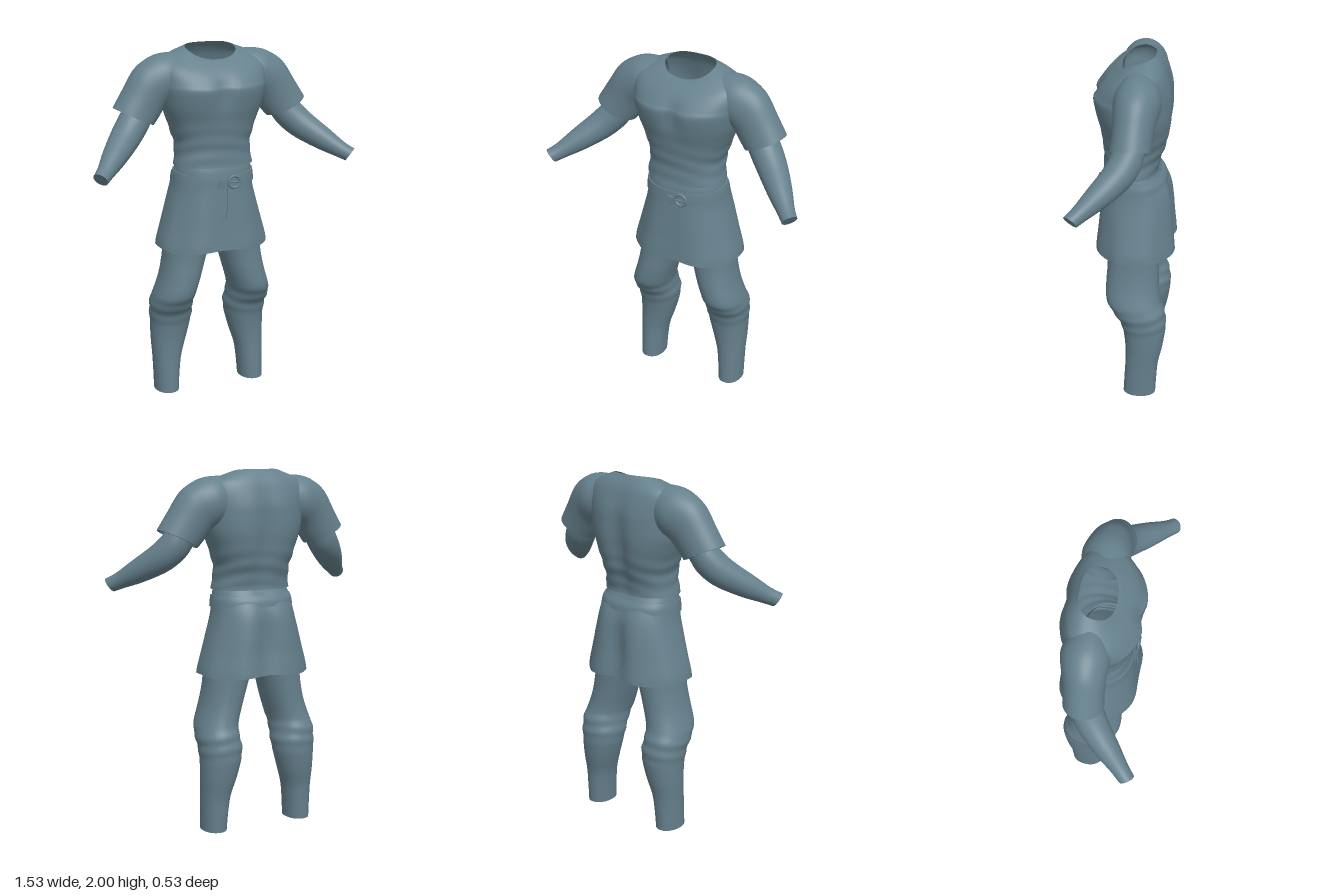
import * as THREE from 'three';

const material = new THREE.MeshStandardMaterial({ color: 0x65808c, side: THREE.DoubleSide });
const SEG = 64;

// Smoothly resample a list of equally long cross-section parameters
function resample(sections, sub) {
  const out = [], n = sections.length, at = i => sections[Math.min(n - 1, Math.max(0, i))];
  for (let i = 0; i < n - 1; i++) {
    for (let s = 0; s < sub; s++) {
      const t = s / sub, [a, b, c, d] = [at(i - 1), at(i), at(i + 1), at(i + 2)];
      out.push(b.map((v, k) => v + 0.5 * t * (c[k] - a[k]
        + t * (2 * a[k] - 5 * v + 4 * c[k] - d[k] + t * (3 * (v - c[k]) + d[k] - a[k])))));
    }
  }
  out.push(sections[n - 1]);
  return out;
}

// Skin rings of points; start / end shrink the end rings inward (0 = cap, 0.9 = hem lip)
function loft(name, sections, point, { sub = 5, start = null, end = null } = {}) {
  const rows = resample(sections, sub).map(s =>
    Array.from({ length: SEG }, (_, j) => point(s, j / SEG * Math.PI * 2)));
  const shrink = (ring, k) => {
    const c = ring.reduce((a, p) => a.add(p), new THREE.Vector3()).divideScalar(SEG);
    return ring.map(p => p.clone().sub(c).multiplyScalar(k).add(c));
  };
  const strips = [rows];
  if (start !== null) strips.push([shrink(rows[0], start), rows[0]]);
  if (end !== null) strips.push([rows.at(-1), shrink(rows.at(-1), end)]);
  const pos = [], idx = [];
  for (const strip of strips) {
    const base = pos.length / 3;
    strip.forEach(r => r.forEach(p => pos.push(p.x, p.y, p.z)));
    for (let i = 0; i < strip.length - 1; i++) {
      for (let j = 0; j < SEG; j++) {
        const a = base + i * SEG + j, b = base + i * SEG + (j + 1) % SEG;
        idx.push(a, a + SEG, b, b, a + SEG, b + SEG);
      }
    }
  }
  const g = new THREE.BufferGeometry();
  g.setAttribute('position', new THREE.Float32BufferAttribute(pos, 3));
  g.setIndex(idx);
  g.computeVertexNormals();
  const m = new THREE.Mesh(g, material);
  m.name = name;
  return m;
}

const bump = (v, c, w) => Math.exp(-(((v - c) / w) ** 2));
const power = (v, n) => Math.sign(v) * Math.abs(v) ** (2 / n);

// Rounded outline; section = [y, halfWidth, zFront, zBack, frontDrop]
function outline([y, hw, zf, zb, drop], a) {
  const c = Math.cos(a), s = Math.sin(a);
  return new THREE.Vector3(hw * power(c, 2.3), y - drop * ((1 + s) / 2) ** 2,
    (zf + zb) / 2 + (zf - zb) / 2 * power(s, 2.3));
}

function shirtPoint(sec, a) {
  const p = outline(sec, a), y = sec[0], s = Math.sin(a);
  // chest cleft, spine groove and waist folds
  if (s > 0) p.z -= 0.03 * bump(p.x, 0, 0.05) * bump(y, 1.77, 0.1);
  else p.z += 0.035 * bump(p.x, 0, 0.06) * bump(y, 1.62, 0.25);
  const fold = 1 + 0.016 * Math.sin(y * 70 + 2 * Math.sin(a * 2 + 1)) * bump(y, 1.46, 0.1);
  p.x *= fold;
  p.z *= fold;
  return p;
}

function skirtPoint(sec, a) {
  const p = outline(sec, a), y = sec[0];
  const low = THREE.MathUtils.clamp((1.3 - y) / 0.4, 0, 1);
  // groove at the back and soft waves towards the hem
  if (Math.sin(a) < 0) p.z += 0.035 * bump(p.x, 0, 0.06) * bump(y, 1.05, 0.25);
  p.z += 0.007 * low * Math.sin(a * 7);
  p.y += 0.006 * low * Math.cos(a * 4);
  return p;
}

// Trouser leg; section = [y, xInner, xOuter, zFront, zBack]
function legPoint([y, xi, xo, zf, zb], a) {
  const fold = 1 + 0.025 * Math.sin(y * 85 + 1.5 * Math.sin(a + 0.6)) * bump(y, 0.5, 0.08);
  return new THREE.Vector3((xi + xo) / 2 + (xo - xi) / 2 * power(Math.cos(a), 2.15) * fold, y,
    (zf + zb) / 2 + (zf - zb) / 2 * power(Math.sin(a), 2.15) * fold);
}

// Sleeve; section = [xTop, yTop, xBottom, yBottom, zCentre, zHalf]
function sleevePoint([xt, yt, xb, yb, zc, hz], a) {
  const c = Math.cos(a);
  return new THREE.Vector3((xt + xb) / 2 + (xt - xb) / 2 * c,
    (yt + yb) / 2 + (yt - yb) / 2 * c, zc - hz * Math.sin(a));
}

// Forearm; section = [x, y, z, radius], all rings square to one axis
const armDir = new THREE.Vector3(0.62, -0.56, 0.5).normalize();
const armSide = new THREE.Vector3(0, 0, 1).addScaledVector(armDir, -armDir.z).normalize();
const armUp = armSide.clone().cross(armDir);
function armPoint([x, y, z, r], a) {
  return new THREE.Vector3(x, y, z).addScaledVector(armUp, r * Math.cos(a))
    .addScaledVector(armSide, -r * Math.sin(a));
}

function limbs() {
  const g = new THREE.Group();
  g.add(loft('sleeve', [
    [0.2, 1.965, 0.2, 1.7, -0.06, 0.11], [0.28, 1.962, 0.25, 1.69, -0.06, 0.125],
    [0.35, 1.942, 0.275, 1.675, -0.058, 0.122], [0.435, 1.885, 0.29, 1.65, -0.052, 0.112],
    [0.505, 1.78, 0.315, 1.615, -0.045, 0.106], [0.565, 1.685, 0.345, 1.58, -0.038, 0.106],
  ], sleevePoint, { end: 0.85 }));
  g.add(loft('forearm', [
    [0.41, 1.67, -0.045, 0.08], [0.46, 1.6, -0.025, 0.086], [0.53, 1.525, 0.025, 0.081],
    [0.62, 1.452, 0.115, 0.066], [0.69, 1.4, 0.19, 0.048], [0.735, 1.372, 0.237, 0.042],
  ], armPoint, { end: 0 }));
  g.add(loft('trouserLeg', [
    [0, 0.2, 0.335, 0.015, -0.17], [0.1, 0.192, 0.337, 0.01, -0.175],
    [0.2, 0.178, 0.34, 0.005, -0.183], [0.3, 0.148, 0.344, 0.006, -0.205],
    [0.4, 0.122, 0.346, 0.018, -0.22], [0.48, 0.112, 0.352, 0.042, -0.222],
    [0.55, 0.12, 0.354, 0.085, -0.21], [0.61, 0.112, 0.34, 0.115, -0.188],
    [0.7, 0.085, 0.312, 0.118, -0.178], [0.8, 0.055, 0.292, 0.112, -0.177],
    [0.9, 0.025, 0.28, 0.112, -0.18], [1.03, 0, 0.255, 0.115, -0.185],
    [1.18, -0.005, 0.22, 0.12, -0.18],
  ], legPoint, { start: 0 }));
  return g;
}

function buckle() {
  const g = new THREE.Group();
  g.name = 'buckle';
  const add = (name, geo, x, y, z, rx = 0, rz = 0) => {
    const m = new THREE.Mesh(geo, material);
    m.name = name;
    m.position.set(x, y, z);
    m.rotation.set(rx, 0, rz);
    g.add(m);
  };
  add('buckleRing', new THREE.TorusGeometry(0.033, 0.008, 10, 32), 0.055, 1.265, 0.162);
  add('bucklePin', new THREE.CylinderGeometry(0.004, 0.004, 0.07, 8), 0.055, 1.265, 0.166, 0, Math.PI / 2);
  add('beltLoop', new THREE.BoxGeometry(0.035, 0.045, 0.012), -0.015, 1.25, 0.158, 0, -0.3);
  // hanging strap with a tapered top
  const s = new THREE.Shape();
  s.moveTo(-0.012, 0.19);
  [[-0.014, 0.1], [-0.025, 0], [0.022, 0], [0.02, 0.1], [0.016, 0.19]].forEach(p => s.lineTo(...p));
  add('strapTail', new THREE.ExtrudeGeometry(s, { depth: 0.008, bevelEnabled: false }), 0.03, 1.06, 0.167, -0.08);
  return g;
}

export function createModel() {
  const model = new THREE.Group();
  model.add(loft('shirtBody', [
    [1.345, 0.225, 0.145, -0.17, 0], [1.38, 0.22, 0.142, -0.172, 0], [1.45, 0.213, 0.142, -0.192, 0],
    [1.52, 0.228, 0.15, -0.215, 0], [1.6, 0.255, 0.162, -0.23, 0], [1.68, 0.283, 0.182, -0.238, 0],
    [1.77, 0.298, 0.197, -0.236, 0], [1.82, 0.303, 0.18, -0.23, 0.015], [1.88, 0.308, 0.145, -0.213, 0.03],
    [1.93, 0.29, 0.115, -0.194, 0.05], [1.965, 0.235, 0.085, -0.172, 0.06],
    [1.985, 0.185, 0.065, -0.155, 0.065], [2, 0.142, 0.05, -0.142, 0.073],
  ], shirtPoint, { sub: 6, start: 0.92 }));
  model.add(loft('skirt', [
    [0.875, 0.32, 0.188, -0.266, 0], [0.92, 0.312, 0.184, -0.263, 0], [1, 0.29, 0.175, -0.256, 0],
    [1.1, 0.263, 0.166, -0.25, 0], [1.2, 0.237, 0.156, -0.238, 0], [1.27, 0.225, 0.15, -0.212, 0],
    [1.33, 0.215, 0.142, -0.175, 0], [1.4, 0.19, 0.12, -0.14, 0],
  ], skirtPoint, { start: 0.97 }));
  model.add(loft('belt', [
    [1.255, 0.236, 0.157, -0.21, 0.02], [1.29, 0.232, 0.155, -0.203, 0.02], [1.318, 0.226, 0.152, -0.185, 0.02],
  ], outline, { start: 0.94, end: 0.94 }));
  model.add(buckle());
  const left = limbs(), right = left.clone();
  left.name = 'leftLimbs';
  right.name = 'rightLimbs';
  right.scale.x = -1;
  model.add(left, right);
  return model;
}
